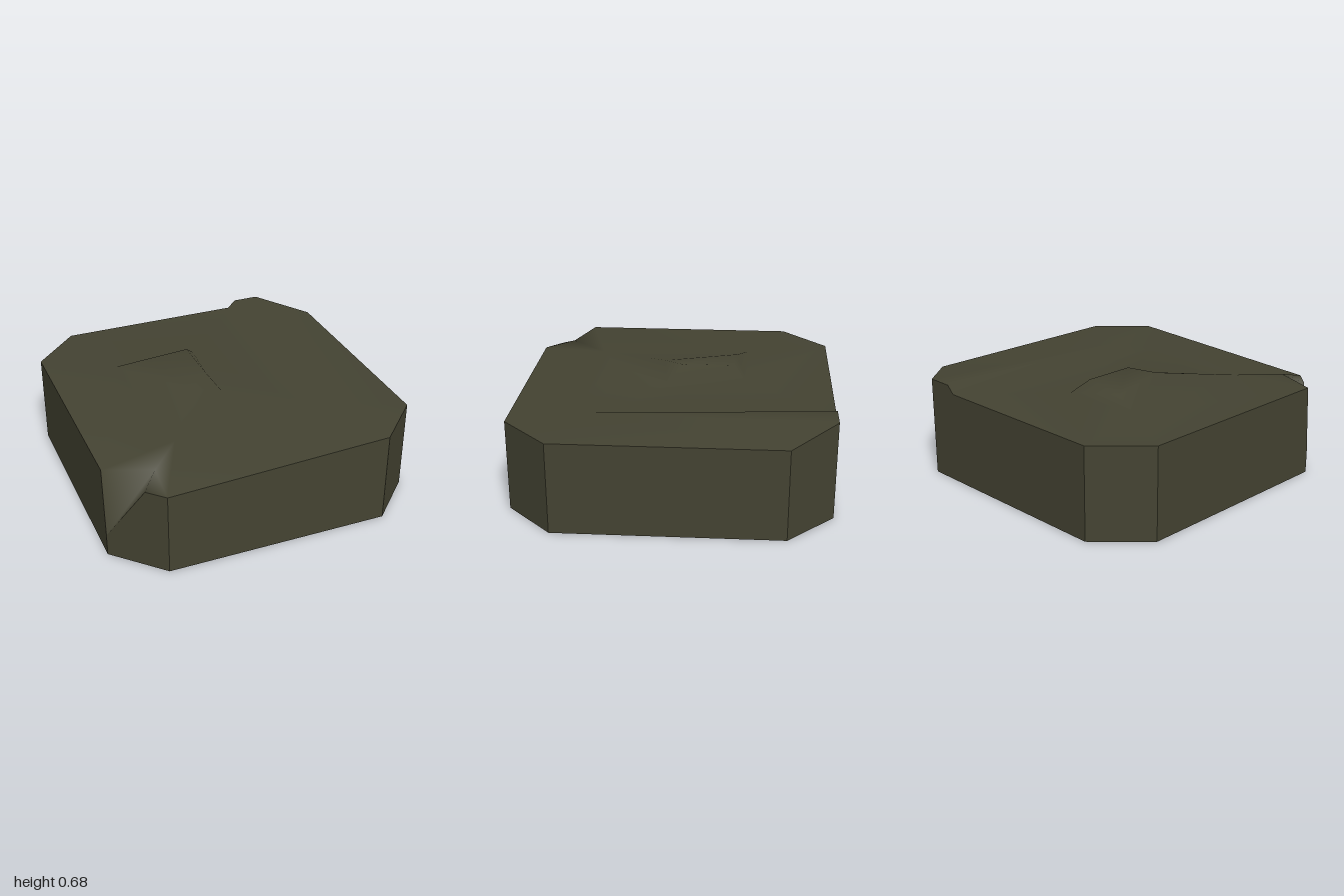
import * as THREE from 'three';

// Rim of the tile, seen from above, as [x, height, z]
const rim = [
  [-0.71, 0.53, 1], [0.71, 0.59, 1], [1, 0.59, 0.71], [1, 0.59, -0.71],
  [0.71, 0.64, -1], [0.54, 0.64, -1], [0.49, 0.59, -1], [-0.71, 0.59, -1],
  [-1, 0.59, -0.71], [-1, 0.59, 0.68], [-1, 0.14, 0.71], [-0.81, 0.53, 0.9],
];

// Inner ground points: notch crest, mound and hollow
const inner = [
  [-0.71, 0.59, 0.79],  // 12 notch crest
  [-0.5, 0.59, 0.55],   // 13 mound foot, front
  [0.31, 0.59, 0.59],   // 14 hollow edge, front
  [0.56, 0.595, 0.52],  // 15 start of the bank
  [-0.08, 0.675, -0.02], // 16 mound top, front
  [-0.22, 0.645, 0.1],  // 17 mound shoulder, front
  [-0.08, 0.675, -0.36], // 18 mound top, back
  [-0.36, 0.645, -0.38], // 19 mound shoulder, back
  [0, 0.59, -0.45],     // 20 mound foot, back
  [-0.56, 0.59, -0.45], // 21 mound foot, side
  [0, 0.565, 0.07],     // 22 hollow floor
  [0.36, 0.565, 0.3],   // 23 hollow floor by the bank
  [-0.28, 0.575, 0.44], // 24 hollow floor by the mound
];

const patches = {
  notch: [[10, 11, 12], [10, 12, 9], [11, 0, 12]],
  front: [[0, 13, 12], [0, 14, 13], [0, 1, 14], [1, 15, 14], [1, 2, 15]],
  bank: [[2, 3, 15], [3, 4, 15], [4, 5, 15], [5, 6, 15], [6, 23, 15], [14, 15, 23]],
  hollow: [[14, 23, 22], [14, 22, 24], [13, 14, 24], [13, 24, 17], [17, 24, 22],
    [17, 22, 16], [16, 22, 20], [22, 23, 20], [20, 23, 6]],
  mound: [[16, 20, 18], [17, 16, 19], [16, 18, 19], [17, 19, 21], [13, 17, 21],
    [18, 20, 19], [19, 20, 21]],
  back: [[20, 6, 7], [20, 7, 21], [7, 8, 21], [8, 9, 21], [9, 13, 21], [9, 12, 13]],
};

function buildGeometry(points, triangles) {
  const g = new THREE.BufferGeometry();
  g.setAttribute('position', new THREE.Float32BufferAttribute(points.flat(), 3));
  g.setIndex(triangles.flat());
  g.computeVertexNormals();
  return g;
}

export function createModel() {
  const group = new THREE.Group();
  group.name = 'groundTile';
  const earth = new THREE.MeshStandardMaterial({ color: 0x444332 });
  earth.name = 'dark olive earth';
  const add = (name, geometry) => {
    const mesh = new THREE.Mesh(geometry, earth);
    mesh.name = name;
    group.add(mesh);
  };

  // Smooth uneven ground, every triangle turned to face up
  const points = [...rim, ...inner];
  const upward = ([a, b, c]) => {
    const [p, q, r] = [points[a], points[b], points[c]];
    const area = (q[2] - p[2]) * (r[0] - p[0]) - (q[0] - p[0]) * (r[2] - p[2]);
    return area > 0 ? [a, b, c] : [a, c, b];
  };
  add('groundSurface', buildGeometry(points, Object.values(patches).flat().map(upward)));

  // Flat side walls below the rim
  const wallPoints = [], wallFaces = [];
  rim.forEach((p, i) => {
    const q = rim[(i + 1) % rim.length], n = wallPoints.length;
    wallPoints.push([p[0], 0, p[2]], [q[0], 0, q[2]], q, p);
    wallFaces.push([n, n + 1, n + 2], [n, n + 2, n + 3]);
  });
  add('sideWalls', buildGeometry(wallPoints, wallFaces));

  // Underside
  const outline = new THREE.Shape(rim.map(([x, , z]) => new THREE.Vector2(x, z)));
  add('underside', new THREE.ShapeGeometry(outline).rotateX(Math.PI / 2));
  return group;
}
